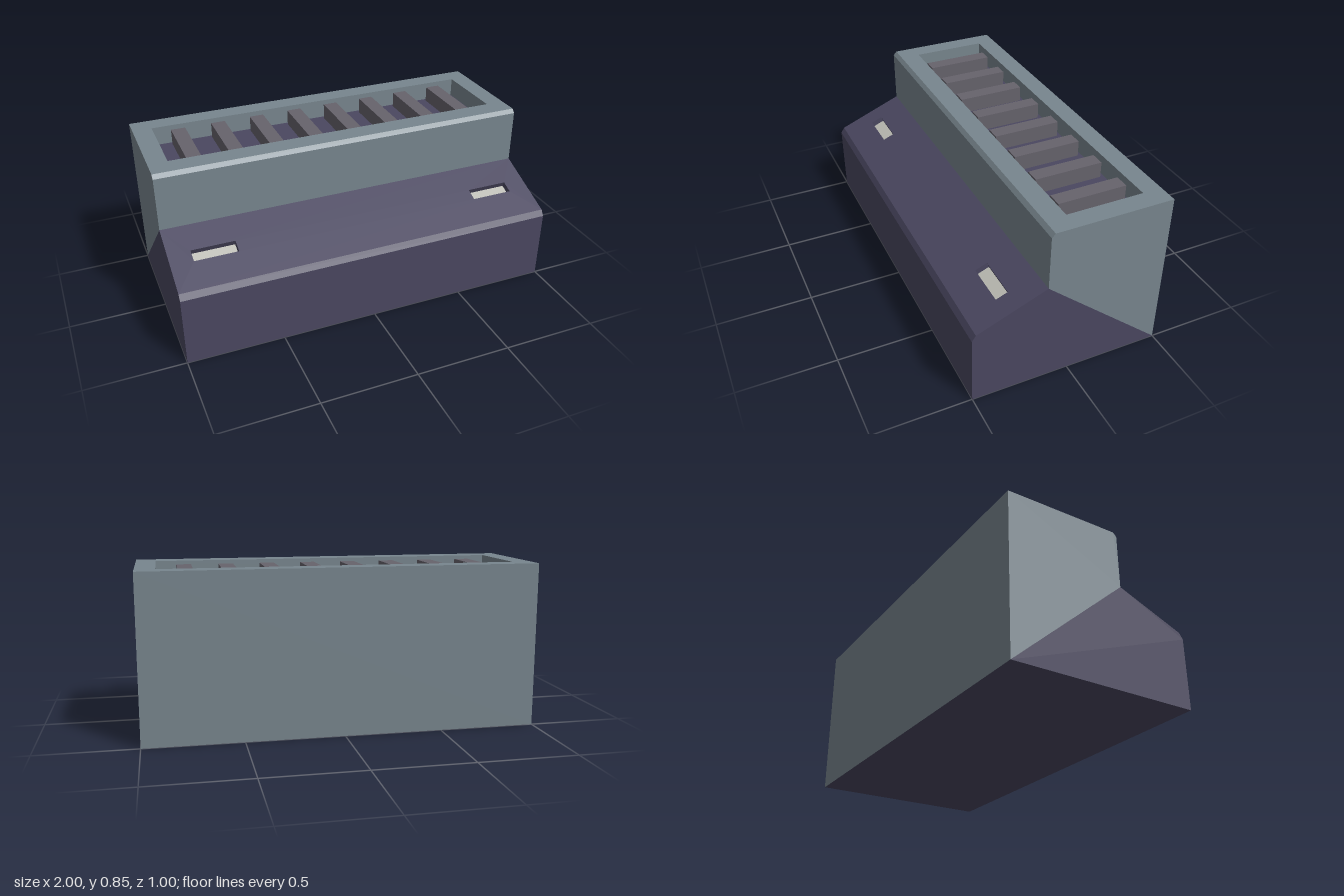
import * as THREE from 'three';
import { mergeGeometries } from 'three/addons/utils/BufferGeometryUtils.js';

const mat = (color) => new THREE.MeshStandardMaterial({ color, flatShading: true });
const plum = mat(0x4a4760);
const slate = mat(0x78868e);
const slatGrey = mat(0x66636c);
const paleGrey = mat(0xbdbdb5);

function mesh(name, geometry, material) {
  const m = new THREE.Mesh(geometry, material);
  m.name = name;
  return m;
}

// Prism along x from a [z, y] profile, leaving out the listed edges.
function prism(profile, skip) {
  const pos = [];
  profile.forEach(([pz, py], i) => {
    if (skip.includes(i)) return;
    const [qz, qy] = profile[(i + 1) % profile.length];
    pos.push(-1, py, pz, -1, qy, qz, 1, qy, qz, -1, py, pz, 1, qy, qz, 1, py, pz);
  });
  const walls = new THREE.BufferGeometry();
  walls.setAttribute('position', new THREE.Float32BufferAttribute(pos, 3));
  walls.computeVertexNormals();
  const parts = [walls];
  for (const side of [1, -1]) {
    const shape = new THREE.Shape(profile.map(([z, y]) => new THREE.Vector2(-side * z, y)));
    const cap = new THREE.ShapeGeometry(shape).toNonIndexed();
    cap.rotateY(side * Math.PI / 2).translate(side, 0, 0);
    cap.deleteAttribute('uv');
    parts.push(cap);
  }
  return mergeGeometries(parts);
}

// Flat face in the XY plane with rectangular pockets sunk towards -z.
function pocketFace(name, w, h, pockets, depth, material, floorMaterial) {
  const group = new THREE.Group();
  group.name = name;
  const rect = (x, y, rw, rh) => [[-1, -1], [1, -1], [1, 1], [-1, 1]]
    .map(([a, b]) => new THREE.Vector2(x + a * rw / 2, y + b * rh / 2));
  const shape = new THREE.Shape(rect(0, 0, w, h));
  for (const [x, y, pw, ph] of pockets) {
    shape.holes.push(new THREE.Path(rect(x, y, pw, ph)));
    // side walls: the four sides of a box turned inside out
    const walls = new THREE.BoxGeometry(pw, ph, depth);
    walls.setIndex(Array.from(walls.index.array).slice(0, 24).reverse());
    walls.computeVertexNormals();
    const wallMesh = mesh(name + 'PocketWalls', walls, material);
    wallMesh.position.set(x, y, -depth / 2);
    const floor = mesh(name + 'PocketFloor', new THREE.PlaneGeometry(pw, ph), floorMaterial);
    floor.position.set(x, y, -depth);
    group.add(wallMesh, floor);
  }
  group.add(mesh(name + 'Surface', new THREE.ShapeGeometry(shape), material));
  return group;
}

export function createModel() {
  const model = new THREE.Group();
  model.name = 'slattedConsole';

  // Lower wedge and its sloping front with two slots
  const lower = [[0.5, 0], [-0.5, 0], [0.125, 0.543], [0.48, 0.4], [0.5, 0.37]];
  model.add(mesh('lowerBody', prism(lower, [1, 2]), plum));
  const dz = 0.48 - 0.125, dy = 0.543 - 0.4;
  const slots = [-1, 1].map((s) => [s * 0.7725, 0.003, 0.225, 0.065]);
  const slope = pocketFace('slopedPanel', 2, Math.hypot(dz, dy), slots, 0.03, plum, paleGrey);
  slope.rotation.x = -Math.atan2(dz, dy);
  slope.position.set(0, (0.543 + 0.4) / 2, (0.125 + 0.48) / 2);
  model.add(slope);

  // Upper housing and its top with one long tray
  const upper = [[-0.5, 0], [-0.5, 0.845], [0.107, 0.845], [0.125, 0.825], [0.125, 0.543]];
  model.add(mesh('upperBody', prism(upper, [1, 4]), slate));
  const top = pocketFace('topPanel', 2, 0.607, [[0, 0.0035, 1.8, 0.4]], 0.1, slate, plum);
  top.rotation.x = -Math.PI / 2;
  top.position.set(0, 0.845, -0.1965);
  model.add(top);

  // Row of slats standing in the tray
  const slats = new THREE.Group();
  slats.name = 'slats';
  const slatGeometry = new THREE.BoxGeometry(0.076, 0.083, 0.36);
  for (let i = 0; i < 8; i++) {
    const slat = mesh('slat', slatGeometry, slatGrey);
    slat.position.set(-0.765 + i * 0.2175, 0.7865, -0.2);
    slats.add(slat);
  }
  model.add(slats);
  return model;
}
